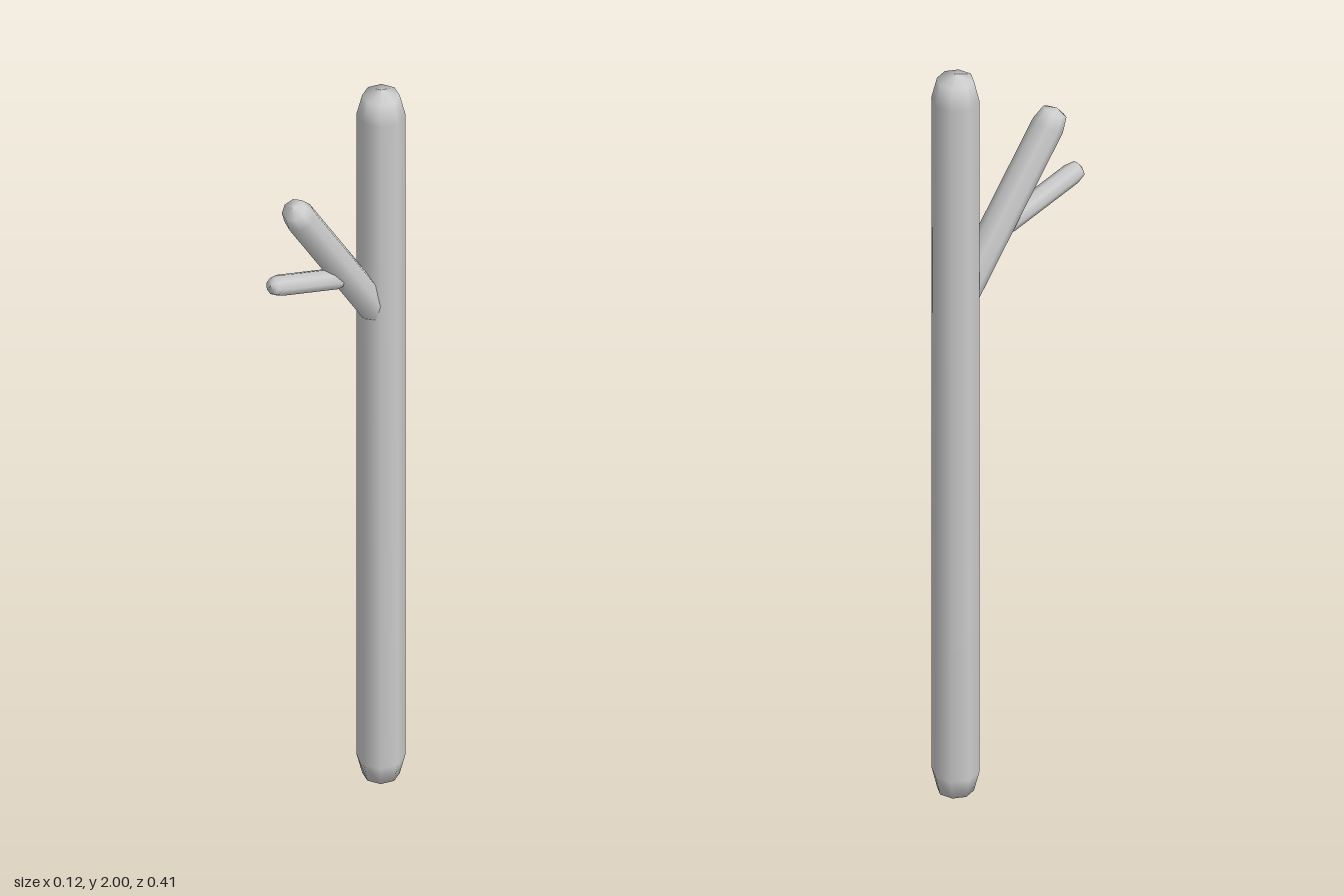
import * as THREE from 'three';

const UP = new THREE.Vector3(0, 1, 0);

// Eight-sided limb with bluntly rounded ends, running from one point to another
function limb(name, from, to, r, turn) {
  const a = new THREE.Vector3(...from);
  const axis = new THREE.Vector3(...to).sub(a);
  const len = axis.length();
  const end = [[0, 0], [0.77, 0.26], [1, 1.2]];
  const profile = [
    ...end.map(([x, y]) => new THREE.Vector2(x * r, y * r)),
    ...end.slice().reverse().map(([x, y]) => new THREE.Vector2(x * r, len - y * r)),
  ];
  const mesh = new THREE.Mesh(
    new THREE.LatheGeometry(profile, 8, turn),
    new THREE.MeshStandardMaterial({ color: 0xcccccc }),
  );
  mesh.name = name;
  mesh.position.copy(a);
  mesh.quaternion.setFromUnitVectors(UP, axis.normalize());
  return mesh;
}

export function createModel() {
  const group = new THREE.Group();
  group.name = 'branchedStick';
  group.add(
    // Upright main stem
    limb('stem', [-0.003, 0, -0.152], [-0.003, 2, -0.152], 0.057, 0.1),
    // Side branch rising from the stem
    limb('branch', [-0.001, 1.35, -0.15], [0.023, 1.803, 0.133], 0.039, 0.1),
    // Small twig on the branch
    limb('twig', [0.013, 1.52, -0.03], [0.032, 1.613, 0.204], 0.026, 0.1),
  );
  return group;
}
